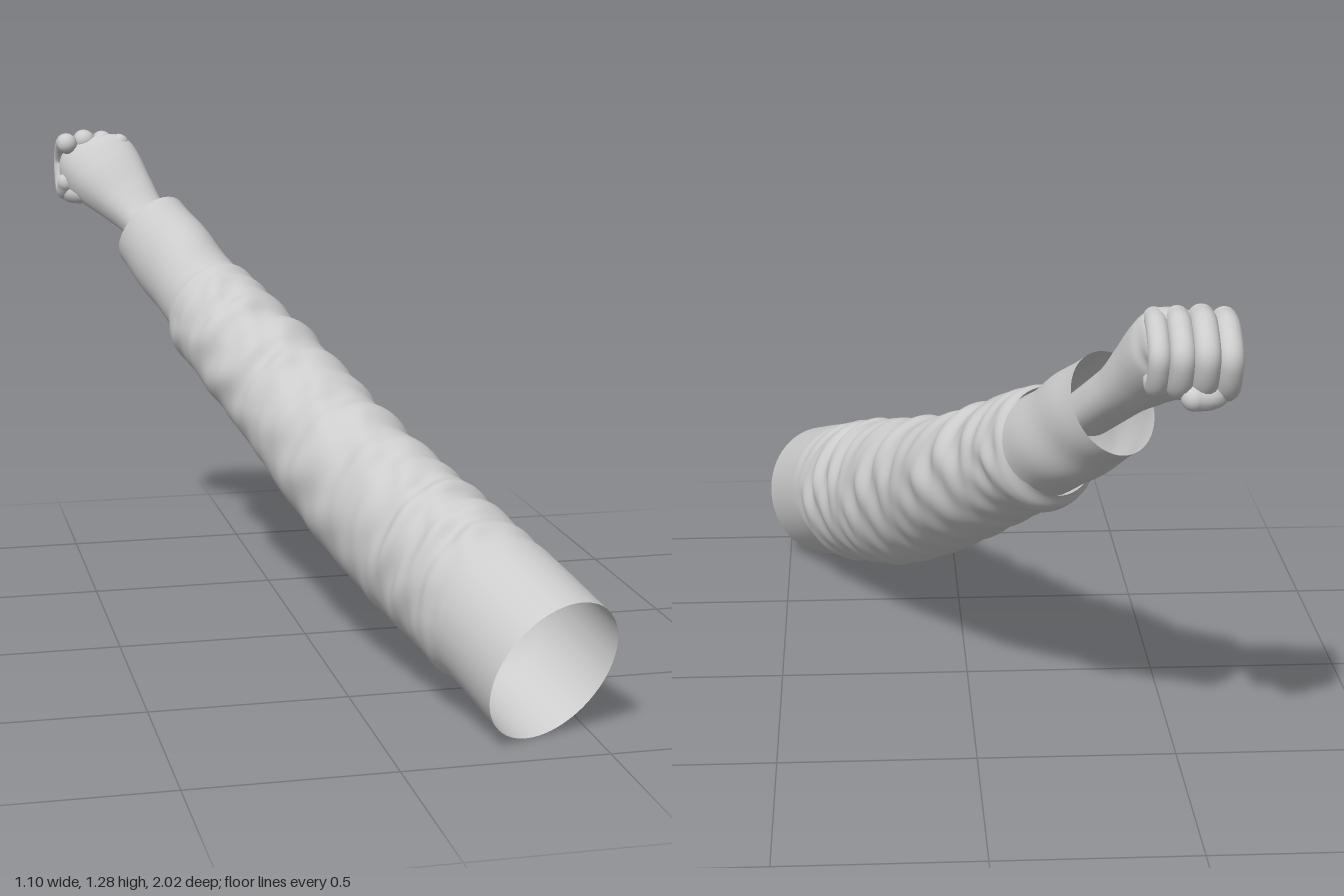
import * as THREE from 'three';

const V = (x, y, z) => new THREE.Vector3(x, y, z);

// Smooth skin over a grid of rings; pointAt(u, angle) gives each surface point.
function skin(rows, cols, pointAt) {
  const pos = [], index = [];
  for (let i = 0; i <= rows; i++) {
    for (let j = 0; j < cols; j++) pos.push(...pointAt(i / rows, (j / cols) * Math.PI * 2).toArray());
  }
  for (let i = 0; i < rows; i++) {
    for (let j = 0; j < cols; j++) {
      const k = (j + 1) % cols;
      const a = i * cols + j, b = a + cols, c = i * cols + k, d = c + cols;
      index.push(a, b, c, b, d, c);
    }
  }
  const g = new THREE.BufferGeometry();
  g.setAttribute('position', new THREE.Float32BufferAttribute(pos, 3));
  g.setIndex(index);
  g.computeVertexNormals();
  return g;
}

// Oval tube of cloth; stations are [x, y, z, side radius, upright radius].
function clothTube(stations, rows, cols, relief) {
  const path = new THREE.CatmullRomCurve3(stations.map(s => V(s[0], s[1], s[2])));
  const size = new THREE.CatmullRomCurve3(stations.map(s => V(s[3], s[4], 0)));
  return skin(rows, cols, (u, a) => {
    // both curves share the same station parameter
    const c = path.getPoint(u), r = size.getPoint(u), t = path.getTangent(u);
    const side = t.clone().cross(V(0, 1, 0)).normalize();
    const up = side.clone().cross(t);
    const d = relief(u, a);
    return c.addScaledVector(side, Math.cos(a) * (r.x + d)).addScaledVector(up, Math.sin(a) * (r.y + d));
  });
}

const step = THREE.MathUtils.smoothstep;
const bump = (x, c, w) => Math.exp(-(((x - c) / w) ** 2));

// Diagonal cloth folds, strongest on the upper side, with slack at both ends underneath.
function sleeveFolds(u, a) {
  const s = Math.sin(a), under = Math.max(0, -s);
  const zone = step(u, 0.13, 0.22) * (1 - step(u, 0.92, 1));
  const weight = 0.3 + 0.7 * step(s, -0.7, 0.4);
  const folds = 0.0045 * Math.sin(88 * u + 3 * Math.sin(a) + 1.5 * Math.cos(2 * a))
    + 0.0035 * Math.sin(61 * u - 4 * Math.cos(a) + 2 * Math.sin(3 * a))
    + 0.002 * Math.sin(140 * u + 5 * Math.cos(a + 1));
  const slack = 0.012 * bump(u, 0.2, 0.035) * under + 0.014 * bump(u, 0.95, 0.03) * under;
  const tuck = -0.012 * step(u, 0.97, 1);
  return zone * weight * folds + slack + tuck;
}

function cuffFolds(u, a) {
  return 0.003 * Math.sin(9 * u + 2 * a) * Math.sin(Math.PI * u);
}

// Hand sections: [centre, half width vector, half thickness vector].
const handSections = [
  [V(-0.25, 0.94, -0.60), V(0.060, 0.012, -0.025), V(0, 0.045, 0.032)],
  [V(-0.315, 1.035, -0.715), V(0.062, 0.02, -0.025), V(0, 0.045, 0.035)],
  [V(-0.355, 1.09, -0.77), V(0.072, 0.036, -0.025), V(0, 0.05, 0.04)],
  [V(-0.40, 1.145, -0.825), V(0.092, 0.04, -0.02), V(0, 0.066, 0.042)],
  [V(-0.43, 1.18, -0.87), V(0.102, 0.026, 0.0), V(0, 0.078, 0.03)],
  [V(-0.437, 1.185, -0.91), V(0.094, 0.012, 0.01), V(0, 0.066, 0.02)],
  [V(-0.437, 1.18, -0.935), V(0.06, 0.005, 0.005), V(0, 0.035, 0.01)],
  [V(-0.437, 1.18, -0.94), V(0.001, 0, 0), V(0, 0.001, 0)]
];

function palmGeometry() {
  const curves = [0, 1, 2].map(k => new THREE.CatmullRomCurve3(handSections.map(s => s[k])));
  const square = x => Math.sign(x) * Math.abs(x) ** 0.85;
  return skin(48, 40, (u, a) => curves[0].getPoint(u)
    .addScaledVector(curves[1].getPoint(u), square(Math.cos(a)))
    .addScaledVector(curves[2].getPoint(u), square(Math.sin(a))));
}

// Rounded finger following a bent path, with a ball at each end.
function digit(name, points, radius, material) {
  const group = new THREE.Group();
  group.name = name;
  const curve = new THREE.CatmullRomCurve3(points);
  group.add(new THREE.Mesh(new THREE.TubeGeometry(curve, 32, radius, 16), material));
  for (const p of [points[0], points[points.length - 1]]) {
    const ball = new THREE.Mesh(new THREE.SphereGeometry(radius, 16, 12), material);
    ball.position.copy(p);
    group.add(ball);
  }
  group.children.forEach(m => { m.name = name; });
  return group;
}

export function createModel() {
  const model = new THREE.Group();
  model.name = 'sleevedArm';
  const grey = new THREE.MeshStandardMaterial({ color: 0xcccccc, side: THREE.DoubleSide });
  grey.name = 'light grey';

  const add = (name, geometry) => {
    const mesh = new THREE.Mesh(geometry, grey);
    mesh.name = name;
    model.add(mesh);
  };

  // Sleeve, open at the shoulder
  add('sleeve', clothTube([
    [0.385, 0.18, 0.925, 0.178, 0.195],
    [0.318, 0.255, 0.74, 0.174, 0.193],
    [0.25, 0.312, 0.565, 0.165, 0.203],
    [0.18, 0.375, 0.39, 0.16, 0.204],
    [0.08, 0.485, 0.14, 0.16, 0.186],
    [-0.01, 0.615, -0.12, 0.157, 0.165],
    [-0.11, 0.738, -0.32, 0.146, 0.152],
    [-0.178, 0.832, -0.485, 0.128, 0.144]
  ], 220, 72, sleeveFolds));

  // Cuff, open around the wrist
  add('cuff', clothTube([
    [-0.16, 0.81, -0.455, 0.118, 0.126],
    [-0.205, 0.872, -0.545, 0.117, 0.127],
    [-0.25, 0.937, -0.625, 0.112, 0.127],
    [-0.295, 1.0, -0.707, 0.106, 0.125]
  ], 40, 64, cuffFolds));

  // Clenched hand
  const hand = new THREE.Group();
  hand.name = 'hand';
  const palm = new THREE.Mesh(palmGeometry(), grey);
  palm.name = 'palm';
  hand.add(palm);

  // [name, x, shift in y, shift in z, radius]
  const fingers = [
    ['indexFinger', -0.515, -0.004, 0.004, 0.029],
    ['middleFinger', -0.463, 0.004, -0.004, 0.03],
    ['ringFinger', -0.411, 0.002, 0, 0.028],
    ['littleFinger', -0.364, -0.003, 0.02, 0.025]
  ];
  for (const [name, x, dy, dz, r] of fingers) {
    const bend = [[-0.86, 1.242], [-0.905, 1.238], [-0.965, 1.19], [-0.962, 1.155], [-0.935, 1.11], [-0.9, 1.105], [-0.875, 1.13]];
    hand.add(digit(name, bend.map(([z, y]) => V(x, y + dy, z + dz)), r, grey));
  }
  hand.add(digit('thumb', [
    V(-0.43, 1.105, -0.80), V(-0.485, 1.095, -0.85), V(-0.502, 1.092, -0.90),
    V(-0.48, 1.09, -0.94), V(-0.44, 1.092, -0.955)
  ], 0.029, grey));
  model.add(hand);

  return model;
}
